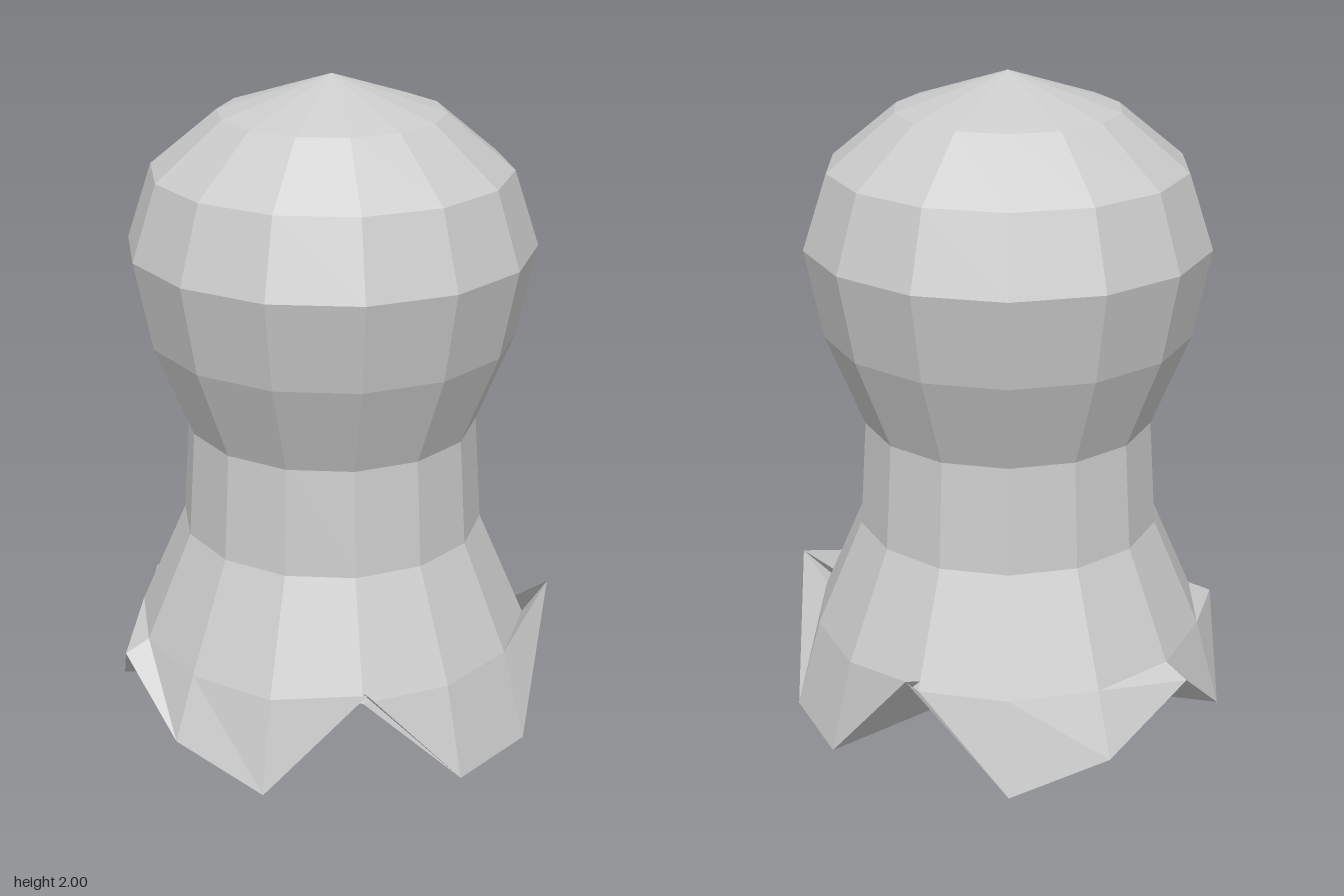
import * as THREE from 'three';

const SIDES = 14;

// Profile from the underside centre to the crown: [radius, height]
const PROFILE = [
  [0, 0], [0.685, 0], [0.61, 0.28], [0.465, 0.615], [0.443, 0.945],
  [0.557, 1.23], [0.61, 1.5], [0.535, 1.725], [0.335, 1.89], [0, 2],
];
const HEM = 1; // profile ring that is lifted into scallops
const LIFT = 0.39;

// Point on a ring; the hem rises in five waves between the feet
function ringPoint(ring, k) {
  const [r, h] = PROFILE[ring];
  const a = ((k % SIDES) / SIDES) * Math.PI * 2;
  const y = ring === HEM ? h + LIFT * Math.max(0, Math.cos(5 * a)) : h;
  return [r * Math.cos(a), y, r * Math.sin(a)];
}

function bodyGeometry() {
  const positions = [];
  const triangle = (a, b, c) => positions.push(...a, ...b, ...c);
  for (let ring = 0; ring < PROFILE.length - 1; ring++) {
    for (let k = 0; k < SIDES; k++) {
      const a = ringPoint(ring, k), b = ringPoint(ring, k + 1);
      const c = ringPoint(ring + 1, k), d = ringPoint(ring + 1, k + 1);
      // The ends of the profile close in fans
      if (PROFILE[ring + 1][0] > 0) triangle(a, c, d);
      if (PROFILE[ring][0] > 0) triangle(a, d, b);
    }
  }
  const geometry = new THREE.BufferGeometry();
  geometry.setAttribute('position', new THREE.Float32BufferAttribute(positions, 3));
  geometry.computeVertexNormals();
  return geometry;
}

export function createModel() {
  const group = new THREE.Group();
  // Round head, neck and scalloped skirt in one closed faceted skin
  const body = new THREE.Mesh(
    bodyGeometry(),
    new THREE.MeshStandardMaterial({ color: 0xcccccc, flatShading: true }),
  );
  body.name = 'scallopedBody';
  group.add(body);
  return group;
}
